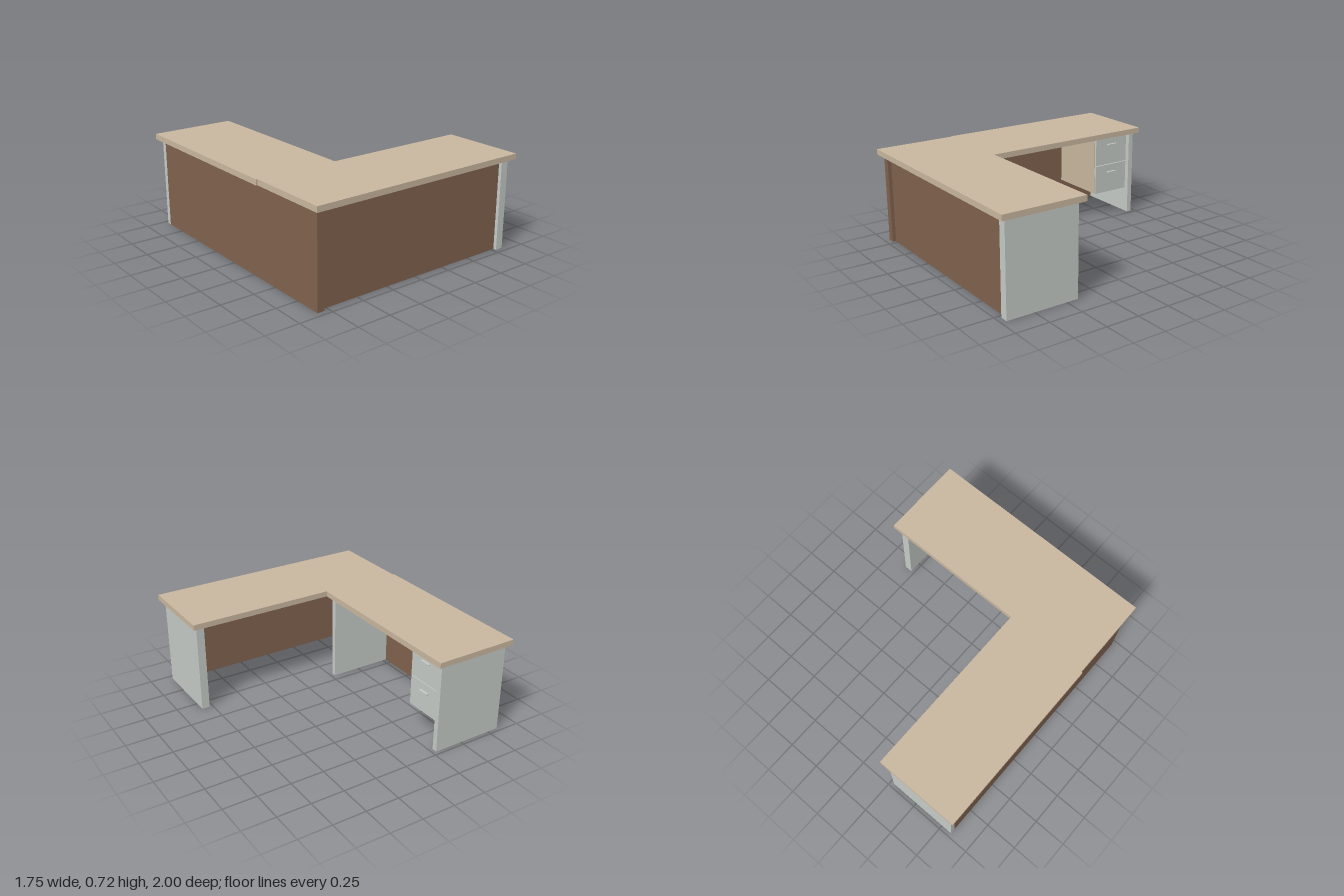
import * as THREE from 'three';

const paint = (color) => new THREE.MeshStandardMaterial({ color });

export function createModel() {
  const desk = new THREE.Group();
  desk.name = 'cornerDesk';
  const tan = paint(0xc9b79f);
  const brown = paint(0x80624d);
  const grey = paint(0xc5cac6);

  // Box given by its extents along each axis
  const slab = (name, material, [x0, x1], [y0, y1], [z0, z1], parent = desk) => {
    const mesh = new THREE.Mesh(new THREE.BoxGeometry(x1 - x0, y1 - y0, z1 - z0), material);
    mesh.position.set((x0 + x1) / 2, (y0 + y1) / 2, (z0 + z1) / 2);
    mesh.name = name;
    parent.add(mesh);
    return mesh;
  };

  // Worktops forming the L
  const top = [0.675, 0.717];
  slab('mainTop', tan, [-0.865, 0.87], top, [0.37, 1]);
  slab('returnTop', tan, [-0.875, -0.24], top, [-1, 0.37]);

  // Brown outer panels; the front one is slightly recessed
  const height = [0, 0.675];
  slab('frontPanel', brown, [-0.775, 0.775], height, [0.91, 0.935]);
  slab('sidePanel', brown, [-0.835, -0.78], height, [-0.93, 0.96]);

  // Grey supports
  slab('mainEndPanel', grey, [0.775, 0.835], height, [0.41, 0.96]);
  slab('returnEndPanel', grey, [-0.835, -0.28], height, [-0.97, -0.93]);
  slab('middleSupport', grey, [-0.78, -0.28], height, [0.31, 0.35]);
  slab('innerLining', grey, [-0.78, -0.77], height, [0.35, 0.91]);

  // Hanging drawer unit facing the seat
  const drawers = new THREE.Group();
  drawers.name = 'drawerUnit';
  desk.add(drawers);
  slab('drawerCabinet', tan, [-0.78, -0.325], [0.205, 0.675], [-0.93, -0.615], drawers);
  for (const [y0, y1, handleY] of [[0.205, 0.433, 0.37], [0.438, 0.668, 0.6]]) {
    slab('drawerFront', grey, [-0.325, -0.31], [y0, y1], [-0.924, -0.619], drawers);
    slab('drawerHandle', grey, [-0.31, -0.292], [handleY - 0.005, handleY + 0.005], [-0.815, -0.73], drawers);
  }

  return desk;
}
